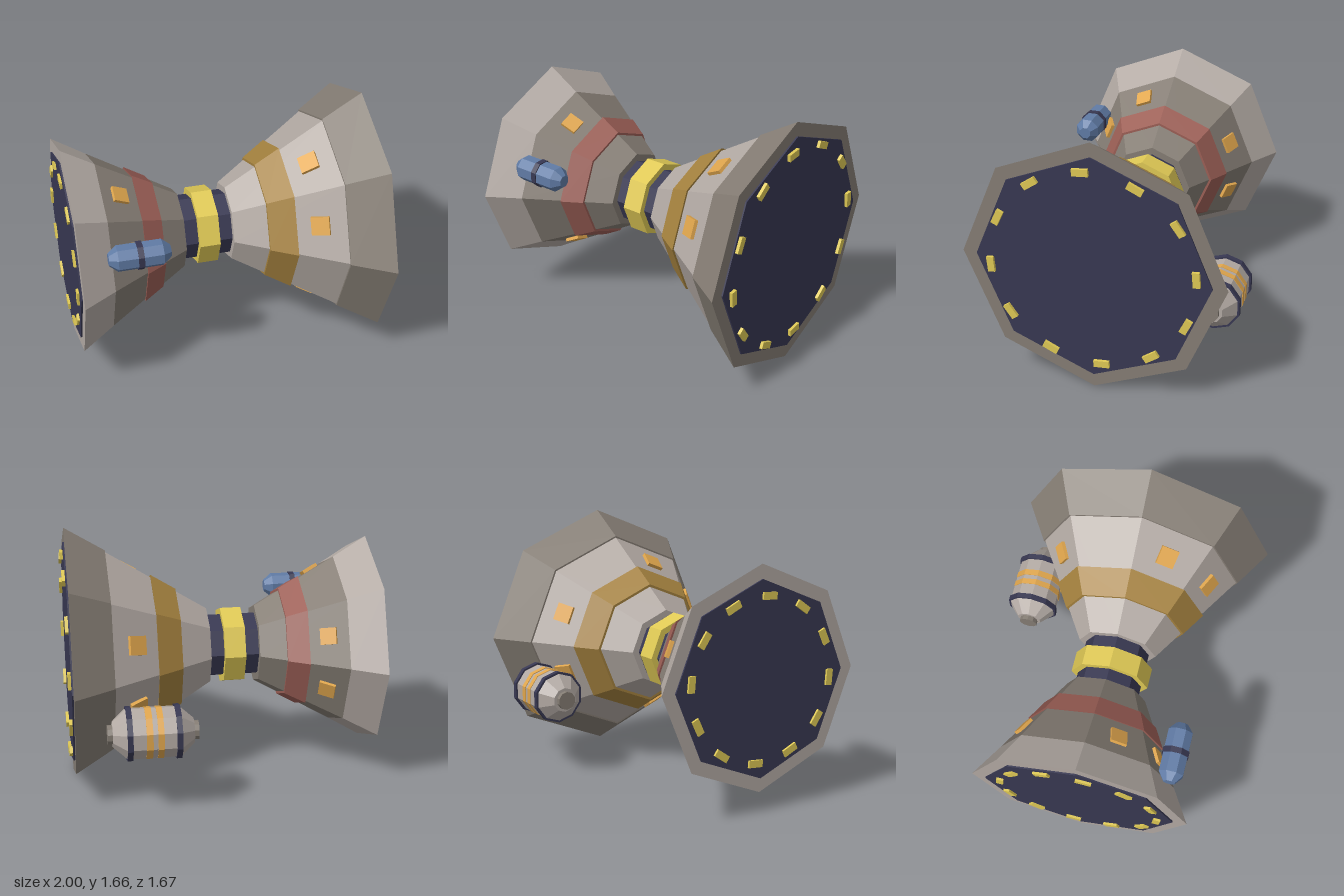
import * as THREE from 'three';

const mat = (name, color) => {
  const m = new THREE.MeshStandardMaterial({ color });
  m.name = name;
  return m;
};
const lightGrey = mat('light grey hull', 0xb3aaa4);
const darkGrey = mat('dark grey hull', 0x857d74);
const navy = mat('navy', 0x383852);
const yellow = mat('yellow', 0xdfc955);
const gold = mat('gold band', 0xa5823f);
const red = mat('red band', 0x9c5f56);
const orange = mat('orange', 0xe0a64d);
const blue = mat('blue', 0x607ba5);

// Faceted solid turned around the x axis from [x, radius] points
function turned(name, material, points, sides = 8, phase = 0) {
  const profile = points.map(([x, r]) => new THREE.Vector2(r, x));
  const geo = new THREE.LatheGeometry(profile, sides, phase).toNonIndexed();
  geo.rotateZ(-Math.PI / 2);
  geo.computeVertexNormals();
  const mesh = new THREE.Mesh(geo, material);
  mesh.name = name;
  return mesh;
}

const disc = (name, material, x0, x1, r, sides, phase) =>
  turned(name, material, [[x0, 0], [x0, r], [x1, r], [x1, 0]], sides, phase);

// Ring of lit windows on an end cap
function windowRing(name, x, radius) {
  const ring = new THREE.Group();
  ring.name = name;
  const geo = new THREE.BoxGeometry(0.03, 0.1, 0.045);
  for (let i = 0; i < 12; i++) {
    const arm = new THREE.Group();
    const win = new THREE.Mesh(geo, yellow);
    win.name = 'window';
    win.position.set(x, 0, radius);
    arm.rotation.x = -THREE.MathUtils.degToRad(85 + 30 * i);
    arm.add(win);
    ring.add(arm);
  }
  return ring;
}

// Square panels lying on five of the eight facets of a cone
function panelRing(name, x, radius, slope, size) {
  const ring = new THREE.Group();
  ring.name = name;
  const cos = Math.cos(Math.PI / 8);
  const geo = new THREE.BoxGeometry(size, size, 0.04);
  for (let i = 0; i < 5; i++) {
    const facet = Math.floor((i * 8) / 5);
    const arm = new THREE.Group();
    const panel = new THREE.Mesh(geo, orange);
    panel.name = 'panel';
    panel.position.set(x, 0, radius * cos);
    panel.rotation.y = -Math.atan(slope * cos);
    arm.rotation.x = -(facet + 0.5) * Math.PI / 4;
    arm.add(panel);
    ring.add(arm);
  }
  return ring;
}

export function createModel() {
  const model = new THREE.Group();
  model.name = 'station';
  const body = new THREE.Group();
  body.name = 'body';
  body.position.y = 0.835;
  model.add(body);

  // Neck
  body.add(disc('neck', navy, -0.26, 0.09, 0.212));
  body.add(disc('neckCollar', yellow, -0.155, -0.02, 0.255));

  // Large cone
  body.add(turned('largeCone', lightGrey, [[0.07, 0], [0.07, 0.257], [0.725, 0.67]]));
  body.add(turned('largeConeBand', gold, [[0.27, 0.36], [0.27, 0.4], [0.43, 0.5], [0.43, 0.46]]));
  body.add(turned('largeRim', darkGrey, [[0.715, 0.64], [0.715, 0.675], [0.97, 0.832], [0.97, 0]]));
  body.add(disc('largeEndCap', navy, 0.96, 0.98, 0.74));
  body.add(windowRing('largeEndWindows', 0.985, 0.647));
  body.add(panelRing('largeConePanels', 0.567, 0.574, 0.637, 0.118));

  // Small cone
  body.add(turned('smallCone', darkGrey, [[-0.765, 0.57], [-0.245, 0.26], [-0.245, 0]]));
  body.add(turned('smallConeBand', red, [[-0.535, 0.41], [-0.535, 0.447], [-0.405, 0.371], [-0.405, 0.335]]));
  body.add(turned('smallRim', lightGrey, [[-0.975, 0], [-0.975, 0.7], [-0.765, 0.57]]));
  body.add(disc('smallEndCap', navy, -0.985, -0.965, 0.61));
  body.add(windowRing('smallEndWindows', -0.985, 0.51));
  body.add(panelRing('smallConePanels', -0.65, 0.502, -0.6, 0.105));

  // Small blue pod in front
  const flat = Math.PI / 8;
  const shuttle = new THREE.Group();
  shuttle.name = 'smallPod';
  shuttle.position.set(-0.603, 0.223, 0.535);
  shuttle.add(turned('smallPodHull', blue, [[-0.192, 0], [-0.192, 0.04], [-0.14, 0.083],
    [0.14, 0.083], [0.192, 0.04], [0.192, 0]], 8, flat));
  shuttle.add(disc('smallPodRing', navy, -0.018, 0.018, 0.09, 8, flat));
  body.add(shuttle);

  // Large grey pod at the back
  const turn = Math.PI / 10;
  const pod = new THREE.Group();
  pod.name = 'largePod';
  pod.position.set(0.495, -0.298, -0.67);
  pod.add(turned('largePodHull', lightGrey, [[-0.25, 0], [-0.25, 0.08], [-0.165, 0.16],
    [0.165, 0.16], [0.25, 0.08], [0.25, 0]], 10, turn));
  for (const s of [-1, 1]) {
    pod.add(disc('largePodRing', navy, s * 0.15 - 0.017, s * 0.15 + 0.017, 0.172, 10, turn));
    pod.add(disc('largePodNozzle', darkGrey, s * 0.26 - 0.02, s * 0.26 + 0.02, 0.06, 10, turn));
  }
  pod.add(disc('largePodStripe', orange, -0.055, -0.018, 0.164, 10, turn));
  pod.add(disc('largePodStripe', orange, 0.012, 0.052, 0.164, 10, turn));
  body.add(pod);

  return model;
}
